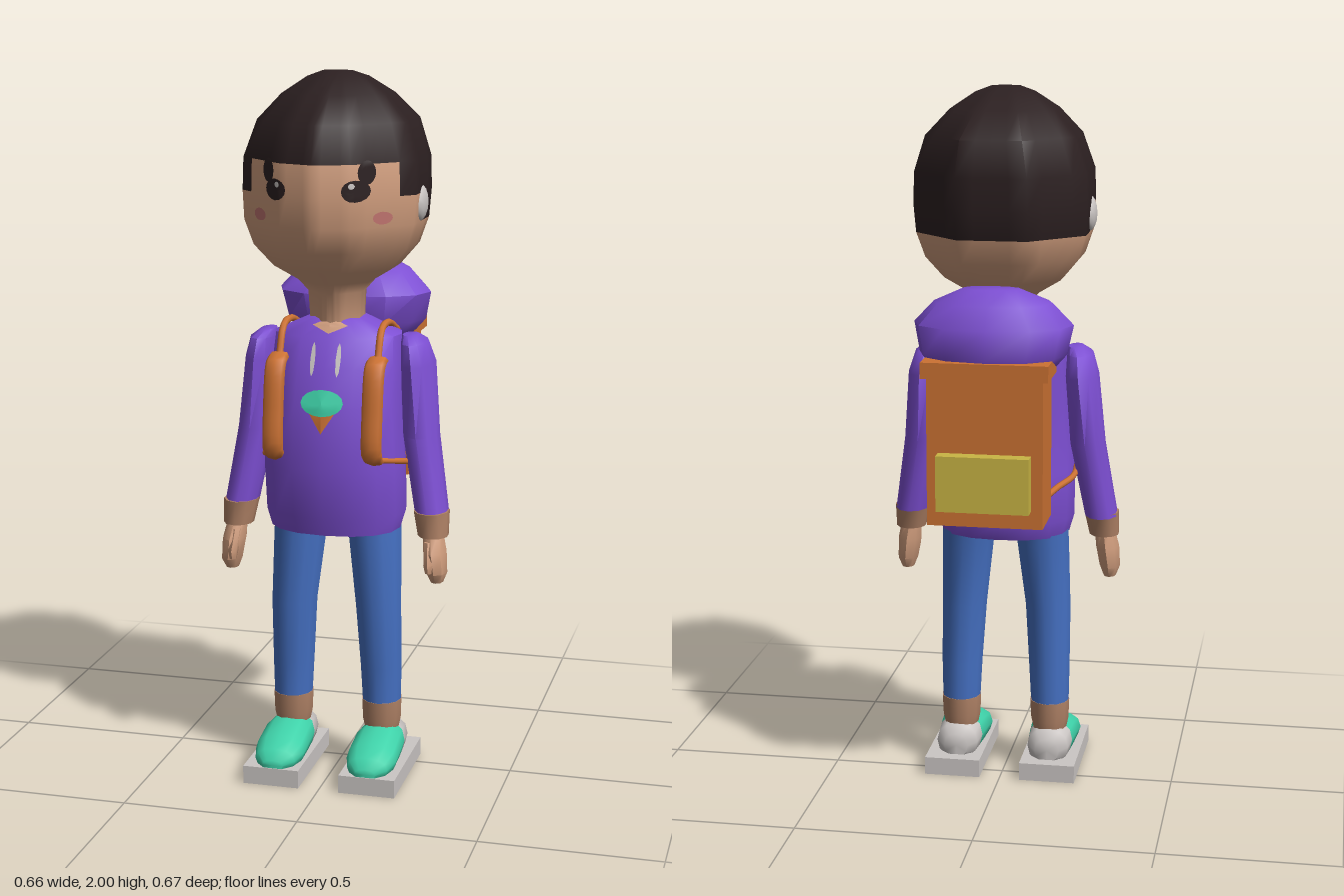
import * as THREE from 'three';
import { toCreasedNormals } from 'three/addons/utils/BufferGeometryUtils.js';

const mat = (name, color, side = THREE.FrontSide) => {
  const m = new THREE.MeshStandardMaterial({ color, side });
  m.name = name;
  return m;
};
const D = THREE.DoubleSide;

// Unit outlines, running from the front (+z) round through +x
const round = (n, power = 1) => Array.from({ length: n }, (_, i) => {
  const a = (i / n) * Math.PI * 2;
  const soft = (v) => Math.sign(v) * Math.abs(v) ** power;
  return [soft(Math.sin(a)), soft(Math.cos(a))];
});
const headOutline = () => {
  const half = [[0, 1], [0.41, 0.87], [1, 0.32], [1, -0.42], [0.41, -1]];
  const corners = [...half, ...half.slice(1).reverse().map(([x, z]) => [-x, z])];
  return corners.flatMap((p, i) => {
    const q = corners[(i + 1) % corners.length];
    return [0, 0.25, 0.5, 0.75].map((t) => [p[0] + (q[0] - p[0]) * t, p[1] + (q[1] - p[1]) * t]);
  });
};

// Closed skin over rings [y, centreX, radiusX, backZ, frontZ]; pick() chooses a material index
function loft(outline, rings, pick = () => 0) {
  const first = rings[0], last = rings[rings.length - 1];
  const flat = ([y, cx, , z0, z1]) => [y, cx, 0, (z0 + z1) / 2, (z0 + z1) / 2];
  const all = [flat(first), ...rings, flat(last)];
  const n = outline.length, pos = [], lists = [[], []];
  for (const [y, cx, rx, z0, z1] of all)
    for (const [u, v] of outline) pos.push(cx + u * rx, y, (z0 + z1) / 2 + v * (z1 - z0) / 2);
  for (let r = 0; r < all.length - 1; r++)
    for (let i = 0; i < n; i++) {
      const j = (i + 1) % n, a = r * n + i, b = r * n + j;
      const mid = [0, 1, 2].map((k) => [a, b, a + n, b + n].reduce((s, v) => s + pos[v * 3 + k] / 4, 0));
      const list = lists[pick(...mid)];
      if (r > 0) list.push(a, b, b + n);
      if (r < all.length - 2) list.push(a, b + n, a + n);
      else if (r === 0) list.push(a, b + n, a + n);
    }
  const g = new THREE.BufferGeometry();
  g.setAttribute('position', new THREE.Float32BufferAttribute(pos, 3));
  g.setIndex([...lists[0], ...lists[1]]);
  g.addGroup(0, lists[0].length, 0);
  if (lists[1].length) g.addGroup(lists[0].length, lists[1].length, 1);
  return toCreasedNormals(g, 0.95);
}

export function createModel() {
  const model = new THREE.Group();
  model.name = 'childWithBackpack';
  const skin = mat('skin', 0xd09d7d, D), cuff = mat('cuff', 0xb08266);
  const hair = mat('hair', 0x2c2021, D), purple = mat('hoodie', 0x7d4fd3);
  const blue = mat('jeans', 0x4570c2), teal = mat('teal', 0x3fd3aa, D);
  const pale = mat('pale grey', 0xcbc6c4, D), orange = mat('orange', 0xcc7233, D);
  const yellow = mat('yellow', 0xc9b544), pink = mat('cheek', 0xc0746f, D);

  const add = (name, geo, material, x = 0, y = 0, z = 0) => {
    const m = new THREE.Mesh(geo, material);
    m.name = name;
    m.position.set(x, y, z);
    model.add(m);
    return m;
  };
  const box = (name, material, w, y0, y1, z0, z1, x = 0) =>
    add(name, new THREE.BoxGeometry(w, y1 - y0, z1 - z0), material, x, (y0 + y1) / 2, (z0 + z1) / 2);

  // Head and neck; the hairline drops from fringe to sides to nape
  const isHair = (x, y, z) => {
    const line = z > 0.12 && Math.abs(x) < 0.2 ? 1.77 : z > 0.04 ? 1.68 : 1.6;
    return y > line ? 1 : 0;
  };
  const head = add('head', loft(headOutline(), [
    [1.3, 0, 0.07, -0.02, 0.14], [1.4, 0, 0.075, -0.02, 0.15], [1.43, 0, 0.1, -0.05, 0.18],
    [1.47, 0, 0.165, -0.1, 0.24], [1.53, 0, 0.215, -0.15, 0.3], [1.6, 0, 0.238, -0.18, 0.332],
    [1.68, 0, 0.243, -0.195, 0.335], [1.77, 0, 0.24, -0.197, 0.335], [1.87, 0, 0.207, -0.192, 0.3],
    [1.94, 0, 0.145, -0.1, 0.21], [1.985, 0, 0.08, -0.02, 0.13], [2, 0, 0.04, 0.03, 0.09],
  ], isHair), [skin, hair]);

  // Hoodie body
  const body = add('hoodieBody', loft(round(16, 0.88), [
    [0.73, 0, 0.185, -0.07, 0.21], [0.78, 0, 0.2, -0.095, 0.225], [0.92, 0, 0.2, -0.085, 0.25],
    [1.1, 0, 0.187, -0.08, 0.235], [1.2, 0, 0.185, -0.09, 0.2], [1.28, 0, 0.18, -0.08, 0.165],
    [1.33, 0, 0.07, -0.03, 0.13],
  ]), purple);

  // Thin painted patch laid over the front of a part
  const ray = new THREE.Raycaster();
  const patch = (name, target, material, x, y, rx, ry, lift = 0.005, sides = 16, turn = 0) => {
    const g = new THREE.RingGeometry(0, 1, sides, 4, turn);
    g.scale(rx, ry, 1).translate(x, y, 0);
    const p = g.attributes.position;
    for (let i = 0; i < p.count; i++) {
      ray.set(new THREE.Vector3(p.getX(i), p.getY(i), 2), new THREE.Vector3(0, 0, -1));
      const hit = ray.intersectObject(target)[0];
      p.setZ(i, (hit ? hit.point.z : 0.12) + lift);
    }
    g.computeVertexNormals();
    return add(name, g, material);
  };
  patch('chestPatchPoint', body, orange, 0, 1.083, 0.062, 0.055, 0.005, 3, -Math.PI / 2);
  patch('chestPatchTop', body, teal, 0, 1.112, 0.06, 0.036, 0.008);
  patch('collarSkin', body, skin, 0, 1.312, 0.05, 0.02, 0.004, 4);

  // Hood folded behind the neck
  add('hood', loft(round(12, 0.9), [
    [1.2, 0, 0.09, -0.19, -0.06], [1.25, 0, 0.17, -0.27, -0.03], [1.29, 0, 0.205, -0.297, -0.015],
    [1.37, 0, 0.222, -0.285, 0], [1.43, 0, 0.165, -0.25, -0.05], [1.47, 0, 0.08, -0.21, -0.13],
  ]), purple);

  // Backpack
  box('backpack', orange, 0.32, 0.83, 1.26, -0.295, -0.135);
  box('backpackLid', orange, 0.35, 1.24, 1.285, -0.305, -0.145);
  box('backpackPocket', yellow, 0.256, 0.88, 1.035, -0.337, -0.29);

  const strap = (name, points, radius, widen, x) => {
    const curve = new THREE.CatmullRomCurve3(points.map((p) => new THREE.Vector3(...p)));
    return add(name, new THREE.TubeGeometry(curve, 16, radius, 8).scale(widen, 1, 1), orange, x);
  };

  for (const s of [1, -1]) {
    const side = s > 0 ? 'left' : 'right';

    // Face and headphones
    patch(side + 'Eye', head, hair, s * 0.11, 1.7, 0.034, 0.029);
    patch(side + 'EyeGlint', head, pale, s * 0.102, 1.714, 0.008, 0.008, 0.008, 8);
    patch(side + 'HairLock', head, hair, s * 0.135, 1.748, 0.02, 0.032);
    patch(side + 'Cheek', head, pink, s * 0.17, 1.625, 0.022, 0.017);
    add(side + 'EarPiece', new THREE.SphereGeometry(1, 10, 8).scale(0.022, 0.05, 0.048), pale, s * 0.235, 1.65, 0.073);
    patch(side + 'Drawstring', body, pale, s * 0.036, 1.225, 0.007, 0.045, 0.006, 8);

    // Sleeve, cuff and hand
    add(side + 'Sleeve', loft(round(10), [
      [0.78, s * 0.278, 0.047, 0.01, 0.14], [1, s * 0.24, 0.05, -0.03, 0.125],
      [1.2, s * 0.225, 0.046, -0.075, 0.13], [1.26, s * 0.217, 0.036, -0.04, 0.12],
      [1.28, s * 0.205, 0.022, 0, 0.08],
    ]), purple);
    add(side + 'SleeveCuff', loft(round(10), [
      [0.72, s * 0.285, 0.043, 0.04, 0.14], [0.79, s * 0.278, 0.05, 0.015, 0.145],
    ]), cuff);
    add(side + 'Hand', loft(round(8), [
      [0.59, s * 0.3, 0.018, 0.08, 0.13], [0.62, s * 0.3, 0.03, 0.06, 0.155],
      [0.68, s * 0.293, 0.034, 0.05, 0.16], [0.74, s * 0.285, 0.028, 0.06, 0.125],
    ]), skin);
    add(side + 'Thumb', loft(round(6), [
      [0.625, s * 0.285, 0.01, 0.14, 0.16], [0.65, s * 0.285, 0.015, 0.13, 0.168],
      [0.71, s * 0.28, 0.014, 0.11, 0.145],
    ]), skin);

    // Trouser leg and ankle cuff
    add(side + 'Leg', loft(round(12), [
      [0.21, s * 0.132, 0.056, 0, 0.122], [0.32, s * 0.13, 0.06, -0.006, 0.13],
      [0.5, s * 0.124, 0.066, 0, 0.145], [0.7, s * 0.11, 0.076, -0.03, 0.145],
      [0.84, s * 0.1, 0.08, -0.06, 0.15],
    ]), blue);
    add(side + 'AnkleCuff', loft(round(12), [
      [0.13, s * 0.132, 0.05, 0.005, 0.115], [0.158, s * 0.132, 0.056, -0.002, 0.122],
      [0.215, s * 0.132, 0.058, -0.002, 0.124],
    ]), cuff);

    // Shoe: sole, heel and toe, with sections running forward
    box(side + 'Sole', pale, 0.162, 0, 0.052, -0.06, 0.28, s * 0.14);
    add(side + 'ShoeUpper', loft(round(12, 0.85), [
      [-0.022, s * 0.135, 0.035, -0.115, -0.045], [0, s * 0.135, 0.06, -0.138, -0.035],
      [0.06, s * 0.135, 0.065, -0.145, -0.03], [0.12, s * 0.135, 0.07, -0.145, -0.03],
      [0.2, s * 0.135, 0.072, -0.122, -0.03], [0.25, s * 0.135, 0.058, -0.1, -0.035],
      [0.277, s * 0.135, 0.03, -0.075, -0.045],
    ], (x, z) => (z > 0.06 ? 1 : 0)).rotateX(Math.PI / 2), [pale, teal]);

    // Backpack straps: chest band, shoulder loop and lower loop
    strap(side + 'ChestStrap', [[0, 1.225, 0.155], [0, 1.21, 0.195], [0, 1.08, 0.225], [0, 0.97, 0.228], [0, 0.95, 0.2]],
      0.014, 2.1, s * 0.14);
    strap(side + 'ShoulderStrap', [[s * 0.14, 1.225, 0.16], [s * 0.14, 1.3, 0.12], [s * 0.14, 1.31, 0.04],
      [s * 0.14, 1.275, -0.06], [s * 0.14, 1.25, -0.14]], 0.01, 1, 0);
    strap(side + 'LowerStrap', [[s * 0.14, 0.955, 0.21], [s * 0.195, 0.935, 0.12], [s * 0.205, 0.91, 0.01],
      [s * 0.17, 0.895, -0.08], [s * 0.15, 0.885, -0.14]], 0.009, 1, 0);
  }
  return model;
}
